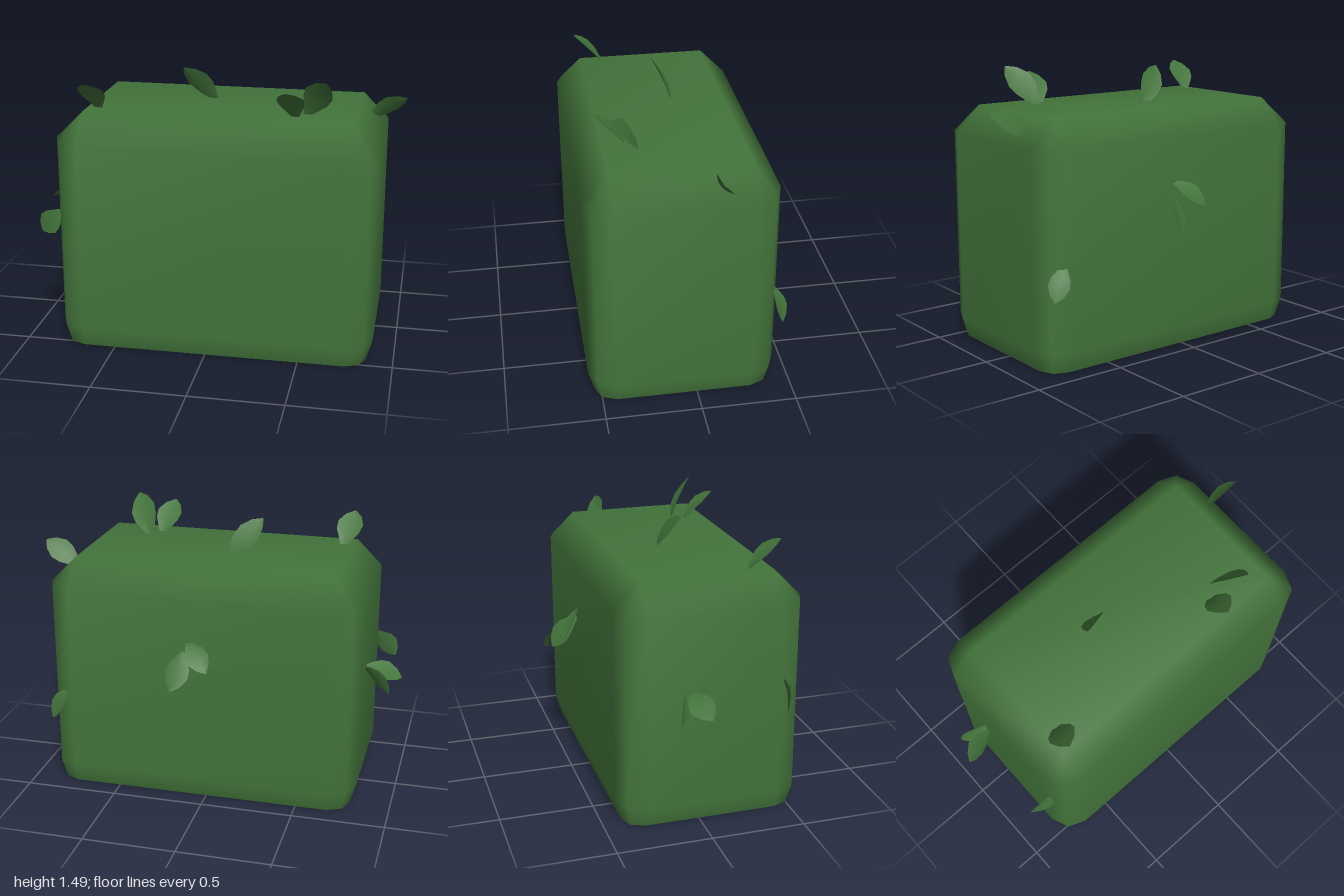
import * as THREE from 'three';
import { mergeVertices } from 'three/addons/utils/BufferGeometryUtils.js';

const leafGreen = new THREE.MeshStandardMaterial({ color: 0x43743b, side: THREE.DoubleSide });
leafGreen.name = 'leafGreen';

function surface(points, index) {
  let geo = new THREE.BufferGeometry();
  geo.setAttribute('position', new THREE.Float32BufferAttribute(points, 3));
  geo.setIndex(index);
  geo = mergeVertices(geo, 1e-4);
  geo.computeVertexNormals();
  return geo;
}

// Rounded, chamfered block, open underneath, stacked from rounded rectangles
function hedgeBody() {
  const cx = 0.0375, cz = 0.07, hx = 0.71, hz = 0.355;
  const corners = [[1, 1], [-1, 1], [-1, -1], [1, -1]];
  const rings = [[0, 0.108], [0.11, 0.14], [1.145, 0.14], [1.285, 0]]; // height, corner radius
  const points = [], index = [], n = 12;
  for (const [y, r] of rings) {
    corners.forEach(([sx, sz], c) => {
      for (let k = 0; k < 3; k++) {
        const a = (c + k / 2) * Math.PI / 2;
        points.push(cx + sx * hx + r * Math.cos(a), y, cz + sz * hz + r * Math.sin(a));
      }
    });
  }
  for (let j = 0; j < rings.length - 1; j++) {
    for (let i = 0; i < n; i++) {
      const a = j * n + i, b = j * n + (i + 1) % n;
      index.push(a, a + n, b);
      // the top ring has square corners, so skip the collapsed halves
      if (j < 2 || i % 3 === 2) index.push(b, a + n, b + n);
    }
  }
  const t = 3 * n; // top cap
  index.push(t, t + 9, t + 6, t, t + 6, t + 3);
  return surface(points, index);
}

// Pointed leaf, arched along its length, from a stem point to a tip
const profile = [[0, 0.15], [0.15, 0.45], [0.4, 0.9], [0.62, 1], [0.85, 0.62], [1, 0.06]];
function leafBlade(base, tip, side, width) {
  const b = new THREE.Vector3(...base);
  const along = new THREE.Vector3(...tip).sub(b);
  const dir = along.clone().normalize();
  const across = new THREE.Vector3(...side);
  across.addScaledVector(dir, -across.dot(dir)).normalize();
  const arch = new THREE.Vector3().crossVectors(across, dir);
  if (arch.y < 0) arch.negate();
  const points = [], index = [];
  profile.forEach(([t, w], i) => {
    for (const s of [-1, 0, 1]) {
      const p = b.clone().addScaledVector(along, t)
        .addScaledVector(across, s * w * width / 2)
        .addScaledVector(arch, 0.09 * t * (1 - t) - 0.012 * w * (1 - Math.abs(s)));
      points.push(p.x, p.y, p.z);
    }
    if (i) {
      for (let k = 0; k < 2; k++) {
        const a = (i - 1) * 3 + k;
        index.push(a, a + 1, a + 3, a + 1, a + 4, a + 3);
      }
    }
  });
  return surface(points, index);
}

// stem, tip, width direction, width
const leaves = {
  topLeaf: [
    [[-0.61, 1.27, 0.3], [-0.65, 1.44, 0.46], [1, 0.05, 0.1], 0.145],
    [[-0.03, 1.26, -0.01], [-0.2, 1.465, 0.08], [0.7, 0.6, 0.35], 0.13],
    [[0.44, 1.27, 0.3], [0.4, 1.44, 0.46], [1, 0.05, 0.1], 0.145],
    [[0.48, 1.27, 0.24], [0.6, 1.485, 0.39], [0.85, -0.5, -0.1], 0.15],
    [[0.79, 1.18, -0.11], [0.99, 1.31, -0.09], [-0.3, 0.5, 0.45], 0.13],
  ],
  sideLeaf: [
    [[-0.8, 0.73, -0.09], [-0.95, 0.61, -0.15], [-0.3, 0.6, -0.45], 0.11],
    [[-0.8, 0.72, -0.06], [-1.0, 0.655, -0.01], [0, 0.45, 0.9], 0.13],
    [[-0.79, 0.74, 0.44], [-0.92, 0.61, 0.42], [0.68, -0.68, 0.25], 0.13],
  ],
  backLeaf: [
    [[0.09, 0.91, -0.42], [-0.04, 0.79, -0.53], [0.75, -0.4, -0.4], 0.12],
    [[0.11, 0.86, -0.42], [0.15, 0.68, -0.56], [0.8, 0.4, -0.35], 0.13],
    [[0.77, 0.57, -0.4], [0.86, 0.4, -0.445], [0.65, 0.3, 0.65], 0.11],
  ],
};

export function createModel() {
  const model = new THREE.Group();
  model.name = 'hedge';
  const add = (name, geometry) => {
    const mesh = new THREE.Mesh(geometry, leafGreen);
    mesh.name = name;
    model.add(mesh);
  };
  add('hedgeBody', hedgeBody());
  for (const [name, list] of Object.entries(leaves)) {
    list.forEach((leaf, i) => add(name + (i + 1), leafBlade(...leaf)));
  }
  return model;
}
